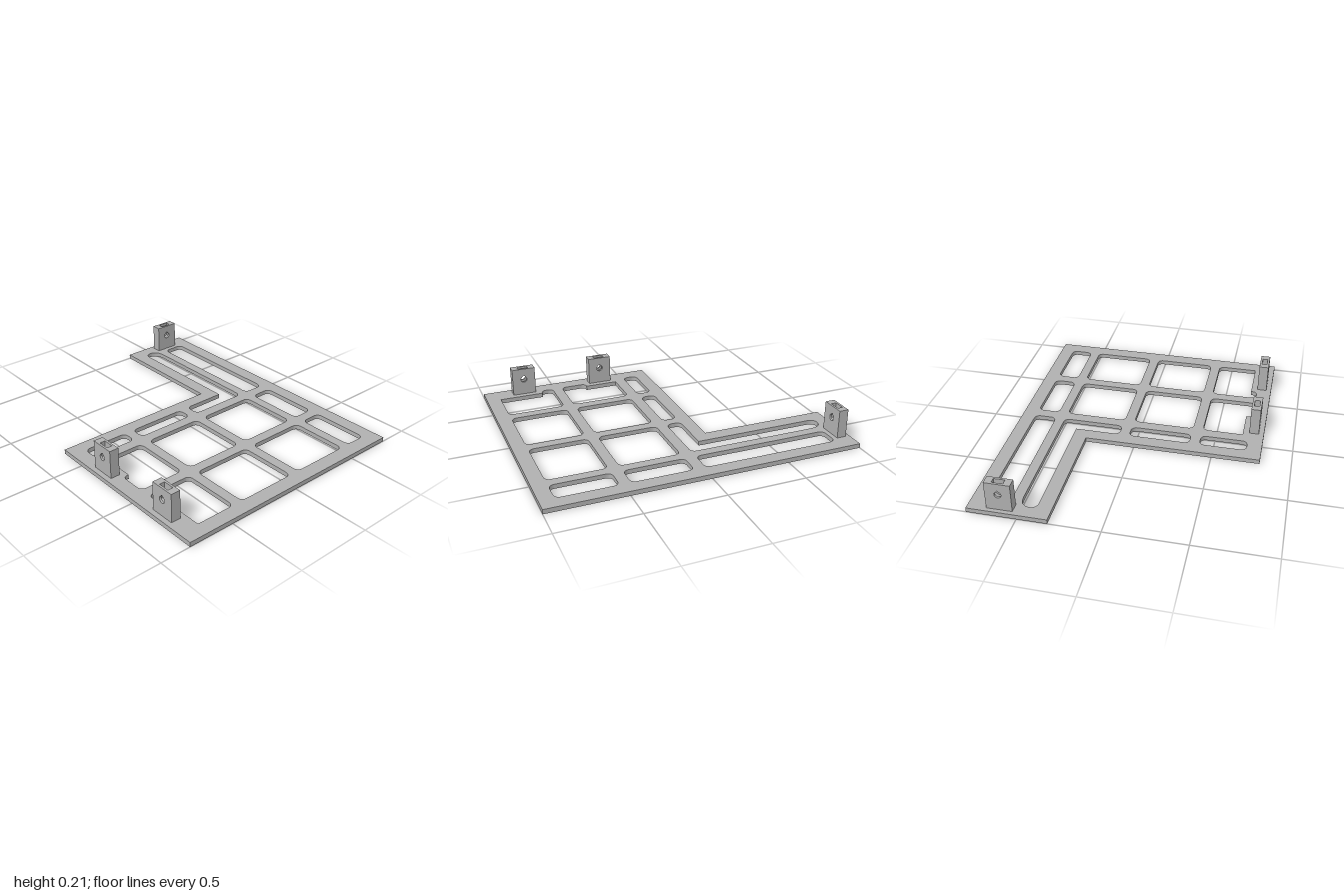
import * as THREE from 'three';

const PLATE_H = 0.029, BLOCK_TOP = 0.213, R = 0.035;

// Closed path through [x, y, radius] corners, each rounded by its radius
function rounded(path, pts) {
  const v = pts.map(([x, y]) => new THREE.Vector2(x, y));
  pts.forEach(([, , r = 0], i) => {
    const c = v[i];
    const toward = (o, d) => c.clone().add(o.clone().sub(c).setLength(d));
    const prev = v[(i + v.length - 1) % v.length], next = v[(i + 1) % v.length];
    const a = r ? toward(prev, r) : c, b = r ? toward(next, r) : c;
    if (i === 0) path.moveTo(a.x, a.y); else path.lineTo(a.x, a.y);
    if (r) {
      const p = toward(prev, r * 0.448), q = toward(next, r * 0.448);
      path.bezierCurveTo(p.x, p.y, q.x, q.y, b.x, b.y);
    }
  });
  path.closePath();
  return path;
}

const rect = (x0, x1, z0, z1) => [[x0, z0, R], [x1, z0, R], [x1, z1, R], [x0, z1, R]];

// Round screw hole with a pointed roof
function teardrop(y, r) {
  const p = new THREE.Path();
  p.absarc(0, y, r, Math.PI * 0.75, Math.PI * 2.25, false);
  p.lineTo(0, y + r * Math.SQRT2);
  p.closePath();
  return p;
}

function createPlate(material) {
  const shape = rounded(new THREE.Shape(), [
    [-1, -0.805], [1, -0.805], [1, 0.805], [-0.18, 0.805], [-0.18, -0.315], [-1, -0.315],
  ]);
  const openings = [
    // back row
    rect(-0.88, 0.003, -0.715, -0.573),
    rect(0.075, 0.465, -0.715, -0.573),
    rect(0.533, 0.908, -0.715, -0.573),
    // L-shaped slot around the inner corner
    [[-0.86, -0.51, 0.03], [0.003, -0.51, R], [0.003, -0.115, R], [-0.093, -0.115, R],
      [-0.093, -0.405], [-0.915, -0.405, 0.04], [-0.915, -0.49, 0.04]],
    // middle rows
    rect(0.075, 0.465, -0.51, -0.115),
    rect(0.533, 0.908, -0.51, -0.115),
    rect(-0.093, 0.003, -0.05, 0.345),
    rect(0.075, 0.465, -0.05, 0.345),
    rect(0.533, 0.908, -0.05, 0.345),
    // front row, stepped beside the mounting blocks
    rect(-0.093, 0.003, 0.41, 0.71),
    [[0.075, 0.41, R], [0.465, 0.41, R], [0.465, 0.71, R], [0.293, 0.71, 0.03],
      [0.293, 0.67], [0.075, 0.67]],
    [[0.533, 0.41, R], [0.908, 0.41, R], [0.908, 0.67], [0.615, 0.67],
      [0.615, 0.71, 0.03], [0.533, 0.71, R]],
  ];
  shape.holes = openings.map((o) => rounded(new THREE.Path(), o));
  const geo = new THREE.ExtrudeGeometry(shape, { depth: PLATE_H, bevelEnabled: false, curveSegments: 6 });
  geo.rotateX(Math.PI / 2).translate(0, PLATE_H, 0);
  const mesh = new THREE.Mesh(geo, material);
  mesh.name = 'framePlate';
  return mesh;
}

// Upright block: two drilled walls around a core with a nut slot open at the top
function createBlock(name, material) {
  const group = new THREE.Group();
  group.name = name;
  const w = 0.079, holeY = 0.136, slot = 0.035, wall = 0.014, core = 0.034;
  const add = (part, shape, depth, z) => {
    const geo = new THREE.ExtrudeGeometry(shape, { depth, bevelEnabled: false, curveSegments: 20 });
    const mesh = new THREE.Mesh(geo.translate(0, 0, z), material);
    mesh.name = part;
    group.add(mesh);
  };
  const face = rounded(new THREE.Shape(), [[-w, PLATE_H], [w, PLATE_H], [w, BLOCK_TOP], [-w, BLOCK_TOP]]);
  face.holes.push(teardrop(holeY, 0.021));
  add('frontWall', face, wall, core / 2);
  add('backWall', face, wall, -core / 2 - wall);
  // Slot ends in the lower half of a hexagon
  const u = rounded(new THREE.Shape(), [
    [-w, PLATE_H], [w, PLATE_H], [w, BLOCK_TOP], [slot, BLOCK_TOP], [slot, holeY - 0.02],
    [0, holeY - 0.04], [-slot, holeY - 0.02], [-slot, BLOCK_TOP], [-w, BLOCK_TOP],
  ]);
  add('nutSlotCore', u, core, -core / 2);
  return group;
}

export function createModel() {
  const grey = new THREE.MeshStandardMaterial({ color: 0xb0b0b0 });
  grey.name = 'greyPlastic';
  const model = new THREE.Group();
  model.name = 'mountingFrame';
  model.add(createPlate(grey));
  // [name, x, z, turn]
  [
    ['frontBlockInner', 0.18, 0.741, 0],
    ['frontBlockOuter', 0.73, 0.741, 0],
    ['sideBlock', -0.942, -0.609, Math.PI / 2],
  ].forEach(([name, x, z, turn]) => {
    const block = createBlock(name, grey);
    block.position.set(x, 0, z);
    block.rotation.y = turn;
    model.add(block);
  });
  return model;
}
